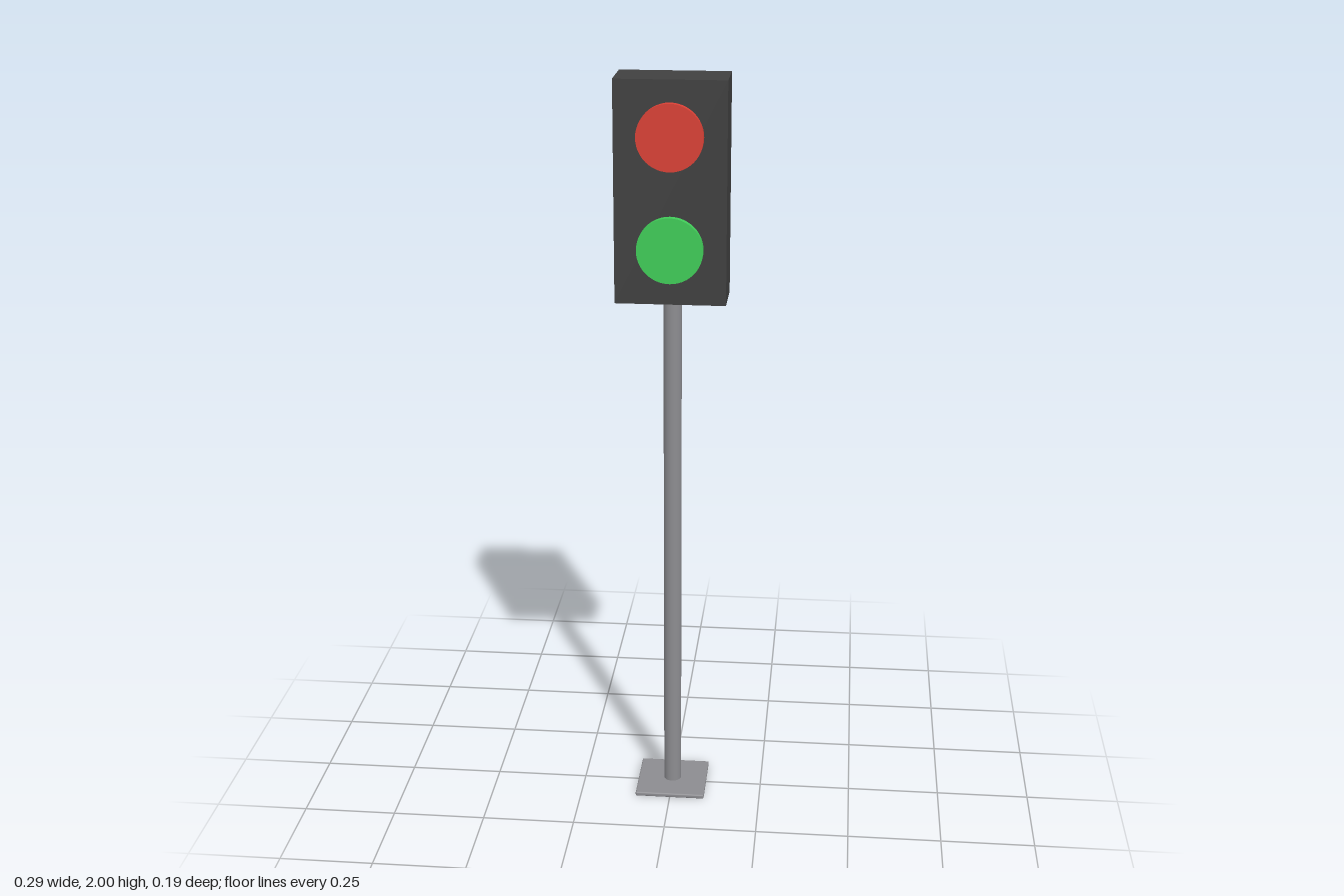
import * as THREE from 'three';
import { RoundedBoxGeometry } from 'three/addons/geometries/RoundedBoxGeometry.js';

export function createModel() {
  const model = new THREE.Group();
  model.name = 'trafficLight';

  const add = (name, geometry, color, x, y, z) => {
    const mesh = new THREE.Mesh(geometry, new THREE.MeshStandardMaterial({ color }));
    mesh.name = name;
    mesh.position.set(x, y, z);
    model.add(mesh);
    return mesh;
  };

  // Thin square foot with softened corners
  add('basePlate', new RoundedBoxGeometry(0.192, 0.012, 0.192, 2, 0.004), 0x8c8c90, 0, 0.006, 0);

  // Slim round pole from the foot to the housing
  add('pole', new THREE.CylinderGeometry(0.024, 0.024, 1.43, 24), 0x8c8c90, 0, 0.72, 0);

  // Signal housing
  add('housing', new THREE.BoxGeometry(0.286, 0.571, 0.142), 0x404040, 0, 1.7145, 0);

  // Round lamps standing proud of the front face
  const lamps = [['redLamp', 0xd94035, 1.859], ['greenLamp', 0x40cc58, 1.573]];
  for (const [name, color, y] of lamps) {
    const lamp = add(name, new THREE.CylinderGeometry(0.085, 0.085, 0.03, 48), color, 0, y, 0.075);
    lamp.rotation.x = Math.PI / 2;
  }

  return model;
}
